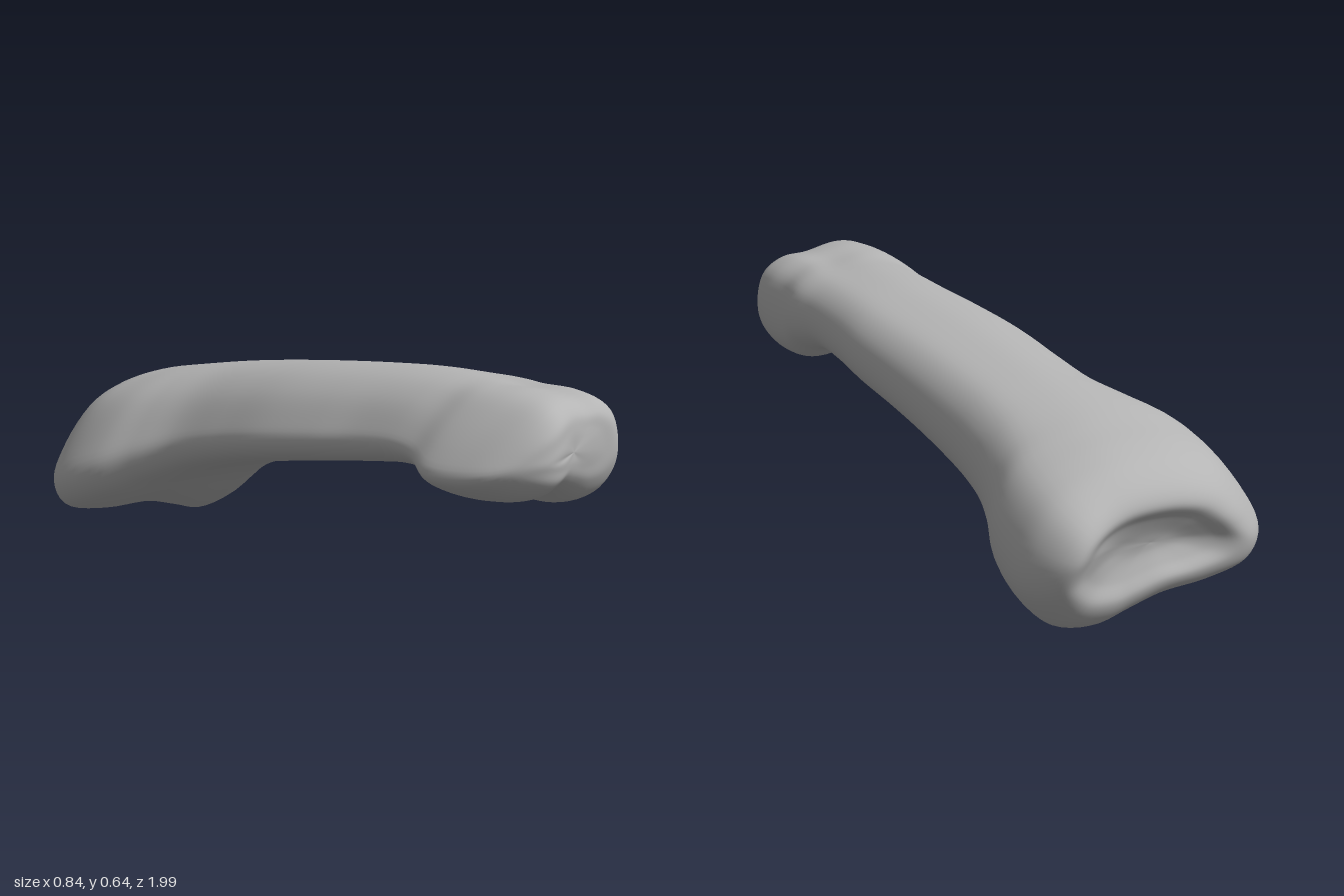
import * as THREE from 'three';

// Cross-section outlines in a -1..1 box, clockwise from the left edge
const HEAD = [[-1, -.25], [-.87, .1], [-.6, .55], [-.3, .9], [0, 1], [.35, .93], [.65, .9], [.9, .6],
  [1, 0], [.96, -.55], [.75, -.92], [.45, -1], [.12, -.8], [-.1, -.68], [-.45, -.73], [-.85, -.5]];
const SHAFT = [[-1, -.4], [-.88, 0], [-.65, .5], [-.35, .85], [0, 1], [.35, .97], [.7, .82], [.92, .45],
  [1, -.05], [.95, -.5], [.75, -.85], [.4, -1], [.1, -1], [-.25, -.97], [-.65, -.93], [-.92, -.75]];
const BASE = [[-1, -.3], [-.87, .12], [-.6, .65], [-.3, .9], [.05, 1], [.4, .98], [.75, .8], [.93, .45],
  [1, 0], [.94, -.4], [.7, -.85], [.4, -1], [.15, -.9], [-.15, -.78], [-.55, -.77], [-.9, -.65]];
const OUTLINES = [HEAD, SHAFT, BASE];

// Stations front to back: z, left, right, bottom, top, outline blend (0 head, 1 shaft, 2 base)
const STATIONS = [
  [.93, .15, .15, .48, .48, 0],
  [.93, .02, .29, .43, .54, 0],
  [.92, -.07, .36, .385, .58, 0],
  [.88, -.135, .405, .33, .615, 0],
  [.8, -.17, .415, .297, .635, 0],
  [.7, -.18, .402, .3, .638, 0],
  [.6, -.137, .408, .36, .64, .35],
  [.5, -.125, .39, .385, .643, .8],
  [.35, -.135, .38, .375, .643, 1],
  [.2, -.17, .378, .355, .635, 1],
  [0, -.205, .36, .325, .62, 1],
  [-.2, -.22, .342, .285, .6, 1],
  [-.38, -.25, .33, .23, .578, 1.15],
  [-.5, -.32, .335, .17, .56, 1.4],
  [-.6, -.39, .36, .1, .543, 1.7],
  [-.7, -.42, .4, .04, .525, 1.9],
  [-.8, -.412, .412, .005, .505, 2],
  [-.88, -.375, .405, .015, .475, 2],
  [-.94, -.31, .365, .065, .425, 2],
  [-.955, -.25, .32, .12, .385, 2],
  [-.93, -.17, .25, .17, .34, 2],
  [-.91, -.08, .14, .22, .29, 2],
  [-.905, .02, .02, .255, .255, 2],
];

const SEGMENTS = 72, ROWS = 132;
const lerp = THREE.MathUtils.lerp;
const bump = (d, width) => Math.exp(-((d / width) ** 2));

// Smooth ring of points for one station
function ring([z, x0, x1, y0, y1, blend]) {
  const k = Math.min(1, Math.floor(blend)), t = blend - k;
  const points = OUTLINES[k].map(([u, v], i) => {
    const [u2, v2] = OUTLINES[k + 1][i];
    return new THREE.Vector3(
      lerp(x0, x1, (lerp(u, u2, t) + 1) / 2), lerp(y0, y1, (lerp(v, v2, t) + 1) / 2), z);
  });
  const curve = new THREE.CatmullRomCurve3(points, true, 'catmullrom', 0.5);
  return Array.from({ length: SEGMENTS }, (_, j) => {
    const p = curve.getPoint(j / SEGMENTS);
    // Protruding condyle at the head; tilted joint face and corner tip at the base
    const front = THREE.MathUtils.smoothstep(p.z, .7, .93);
    const back = THREE.MathUtils.smoothstep(-p.z, .72, .93);
    p.z += front * .06 * bump(p.x - .02, .12);
    p.z += back * (.15 * Math.max(0, .3 - p.y) - .045 * bump(p.x - .29, .1) * bump(p.y - .31, .14));
    return p;
  });
}

// Skin the rings with smooth curves running along the bone
function loft(stations) {
  const rings = stations.map(ring);
  const columns = Array.from({ length: SEGMENTS }, (_, j) =>
    new THREE.CatmullRomCurve3(rings.map(r => r[j]), false, 'centripetal'));
  const positions = [], index = [];
  for (let i = 0; i <= ROWS; i++) {
    for (let j = 0; j < SEGMENTS; j++) {
      const p = columns[j].getPoint(i / ROWS);
      positions.push(p.x, p.y, p.z);
      if (i === ROWS) continue;
      const a = i * SEGMENTS + j, b = i * SEGMENTS + (j + 1) % SEGMENTS;
      const c = a + SEGMENTS, d = b + SEGMENTS;
      if (i > 0) index.push(a, b, c);
      if (i === 0) index.push(a, d, c);
      else if (i < ROWS - 1) index.push(b, d, c);
    }
  }
  const geometry = new THREE.BufferGeometry();
  geometry.setAttribute('position', new THREE.Float32BufferAttribute(positions, 3));
  geometry.setIndex(index);
  geometry.computeVertexNormals();
  return geometry;
}

export function createModel() {
  const group = new THREE.Group();
  group.name = 'fingerBone';
  const boneGrey = new THREE.MeshStandardMaterial({ color: 0xb4b4b4 });
  boneGrey.name = 'boneGrey';
  const bone = new THREE.Mesh(loft(STATIONS), boneGrey);
  bone.name = 'bone';
  group.add(bone);
  return group;
}
